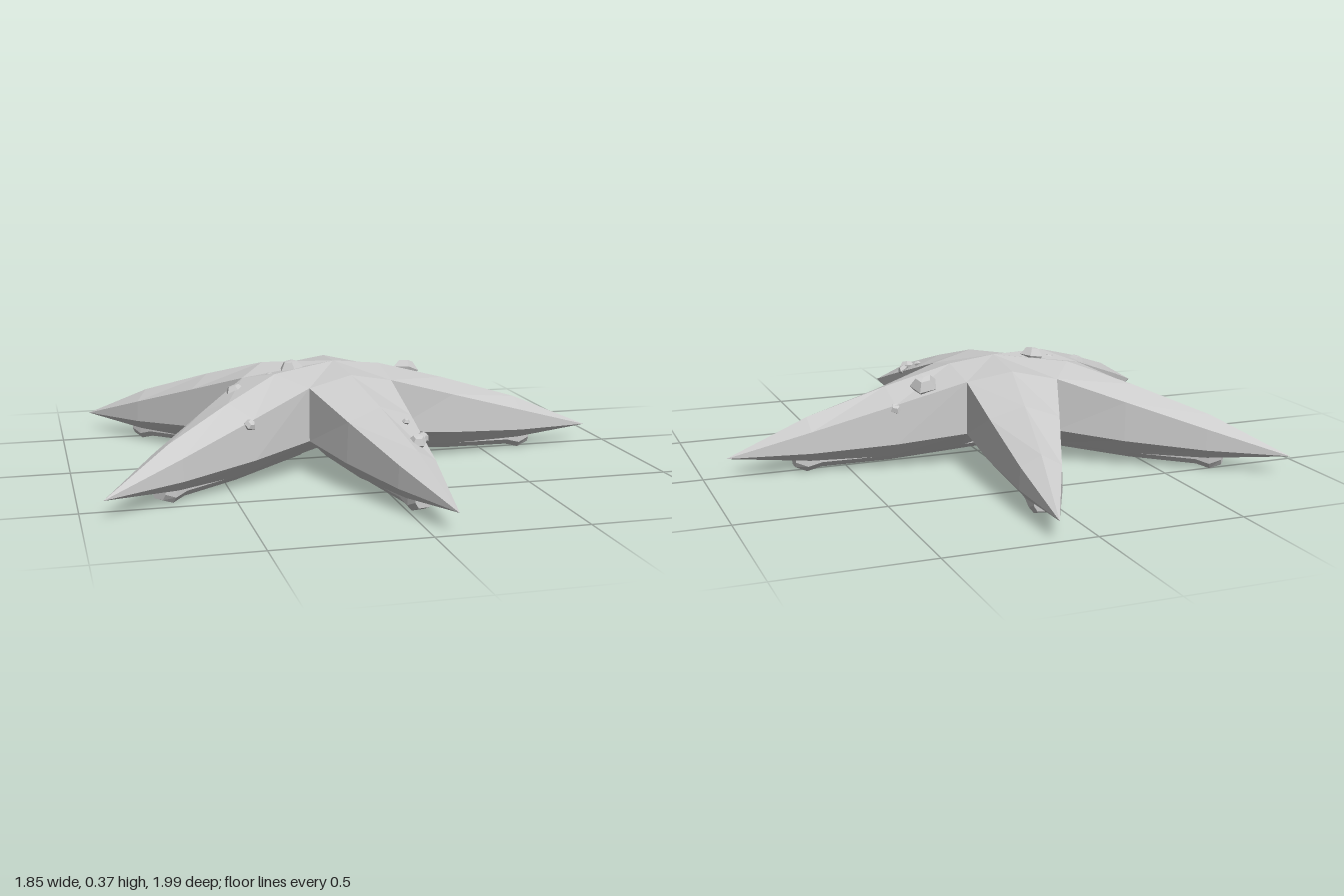
import * as THREE from 'three';

const material = new THREE.MeshStandardMaterial({ color: 0xcccccc, flatShading: true });

// Arm tips and the notches between arms, as [x, z], in order round the body
const tips = [[0.92, 0], [0.13, -1], [-0.89, -0.67], [-0.93, 0.6], [0.08, 0.99]];
const notches = [[0.11, 0.16], [0.11, -0.18], [-0.2, -0.25], [-0.39, -0.01], [-0.2, 0.23]];
const centre = [-0.06, 0];

// Stations along an arm: position, width, ridge, shoulder, side and belly heights
const stations = [
  [0, 1, 0.342, 0.31, 0.125, 0.065],
  [0.3, 0.78, 0.278, 0.238, 0.1, 0.045],
  [0.65, 0.44, 0.192, 0.155, 0.08, 0.047],
  [1, 0, 0.07, 0.07, 0.07, 0.07],
];

function meshFrom(triangles, name) {
  const geometry = new THREE.BufferGeometry().setFromPoints(triangles);
  geometry.computeVertexNormals();
  const mesh = new THREE.Mesh(geometry, material);
  mesh.name = name;
  return mesh;
}

// Skin a list of equal rings
function loft(rings, out) {
  for (let k = 0; k < rings.length - 1; k++) {
    const A = rings[k], B = rings[k + 1], n = A.length;
    for (let i = 0; i < n; i++) {
      const j = (i + 1) % n;
      out.push(A[i], A[j], B[i]);
      if (B[i].distanceTo(B[j]) > 1e-6) out.push(A[j], B[j], B[i]);
    }
  }
}

// Function giving a point at u along an arm, s across it and height y
function armFrame(i) {
  const a = notches[i], b = notches[(i + 1) % 5], t = tips[i];
  return (u, s, y) => {
    const at = (k) => THREE.MathUtils.lerp((a[k] + b[k]) / 2, t[k], u) + s * (a[k] - b[k]) / 2;
    return new THREE.Vector3(at(0), y, at(1));
  };
}

function makeArm(i) {
  const p = armFrame(i);
  const rings = stations.map(([u, w, ridge, shoulder, side, belly]) => {
    const sw = u === 0 ? 1 : 0.95 * w;
    return [
      p(u, 0, ridge), p(u, sw, shoulder), p(u, w, side), p(u, 0.6 * w, belly),
      p(u, -0.6 * w, belly), p(u, -w, side), p(u, -sw, shoulder),
    ];
  });
  const out = [];
  loft(rings, out);
  // This arm's share of the central disc, above and below
  const r = rings[0];
  const top = new THREE.Vector3(centre[0], 0.36, centre[1]);
  const bottom = new THREE.Vector3(centre[0], 0.06, centre[1]);
  out.push(top, r[1], r[0], top, r[0], r[6]);
  for (let k = 2; k < 5; k++) out.push(bottom, r[k + 1], r[k]);
  return meshFrom(out, 'arm');
}

// Raised strip along the middle of an arm's underside, with a blunt lower end
function makeUnderStrip(i) {
  const p = armFrame(i);
  const rows = [[-0.12, 0.36, 0.04], [0.3, 0.32, 0.02], [0.6, 0.27, 0.018], [0.66, 0.25, 0.005], [0.71, 0.2, 0.022]];
  const rings = rows.map(([u, w, y]) => [
    p(u, w, 0.075), p(u, w, y + 0.02), p(u, 0.6 * w, y),
    p(u, -0.6 * w, y), p(u, -w, y + 0.02), p(u, -w, 0.075),
  ]);
  const out = [];
  loft(rings, out);
  const end = rings[rings.length - 1];
  for (let k = 1; k < 5; k++) out.push(end[0], end[k], end[k + 1]);
  return meshFrom(out, 'underStrip');
}

// Five-sided wart: x, y, z, radius and sideways lean of its axis
const warts = [
  [0.24, 0.295, -0.105, 0.05, 0.2, -0.4],
  [0.35, 0.225, -0.125, 0.023, 0.2, -0.8],
  [-0.22, 0.342, 0.02, 0.043, -0.15, 0.05],
  [-0.3, 0.322, 0.04, 0.02, -0.2, 0.1],
  [-0.435, 0.285, 0.1, 0.036, -0.3, -0.1],
  [-0.43, 0.225, 0.36, 0.022, 0.5, 0.8],
  [0.065, 0.2, 0.62, 0.031, 0, 0.35],
  [0.1, 0.2, 0.565, 0.022, 0.6, 0.3],
  [0.065, 0.237, 0.49, 0.014, 0.1, 0.3],
];

function makeWarts() {
  const group = new THREE.Group();
  group.name = 'warts';
  const profile = [[0, -0.7], [0.6, -0.6], [1, 0], [0.55, 0.6], [0, 0.65]].map(([x, y]) => new THREE.Vector2(x, y));
  const geometry = new THREE.LatheGeometry(profile, 5);
  warts.forEach(([x, y, z, r, lx, lz], k) => {
    const wart = new THREE.Mesh(geometry, material);
    wart.name = 'wart';
    wart.position.set(x, y, z);
    wart.scale.setScalar(r);
    wart.quaternion.setFromUnitVectors(new THREE.Vector3(0, 1, 0), new THREE.Vector3(lx, 1, lz).normalize());
    wart.rotateY(k * 0.7);
    group.add(wart);
  });
  return group;
}

export function createModel() {
  const model = new THREE.Group();
  model.name = 'starfish';
  for (let i = 0; i < 5; i++) model.add(makeArm(i), makeUnderStrip(i));
  model.add(makeWarts());
  return model;
}
